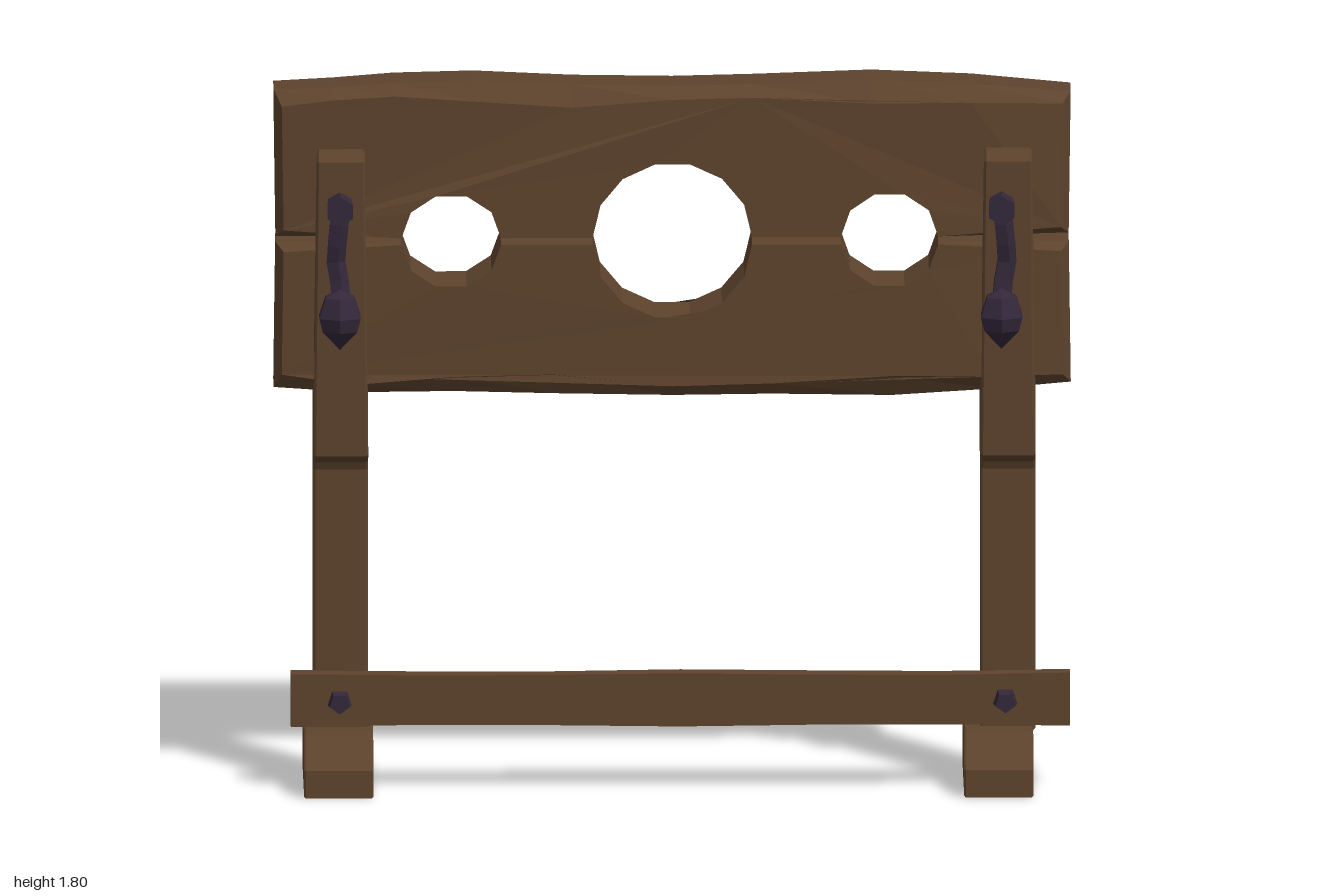
import * as THREE from 'three';

const wood = new THREE.MeshStandardMaterial({ color: 0x5d432d, flatShading: true });
wood.name = 'brown wood';
const iron = new THREE.MeshStandardMaterial({ color: 0x33283a, flatShading: true });
iron.name = 'dark iron';

function add(parent, name, geometry, material, x = 0, y = 0, z = 0) {
  const mesh = new THREE.Mesh(geometry, material);
  mesh.name = name;
  mesh.position.set(x, y, z);
  parent.add(mesh);
  return mesh;
}

const shapeOf = (pts) => new THREE.Shape(pts.map(([x, y]) => new THREE.Vector2(x, y)));

// Moves every vertex of a geometry by a rule
function warp(geometry, rule) {
  const p = geometry.attributes.position;
  const v = new THREE.Vector3();
  for (let i = 0; i < p.count; i++) {
    rule(v.fromBufferAttribute(p, i));
    p.setXYZ(i, v.x, v.y, v.z);
  }
  geometry.computeVertexNormals();
  return geometry;
}

// Extrudes a (z, y) side profile across x, centred on x = 0
function sideProfile(pts, width, bevel) {
  const g = new THREE.ExtrudeGeometry(shapeOf(pts), {
    depth: width - 2 * bevel, bevelThickness: bevel, bevelSize: bevel,
    bevelOffset: -bevel, bevelSegments: 1,
  });
  return g.translate(0, 0, -width / 2 + bevel).rotateY(-Math.PI / 2);
}

// Mating edge with half of the neck and wrist holes, from left to right
function matingEdge(y, dir) {
  const pts = [[-0.995, y]];
  for (const [cx, rx, ry, n] of [[-0.555, 0.125, 0.12, 5], [0, 0.2, 0.198, 7], [0.545, 0.122, 0.12, 5]]) {
    for (let i = 0; i <= n; i++) {
      const a = Math.PI * (1 - i / n);
      pts.push([cx + rx * Math.cos(a), y + (1.398 + dir * ry - y) * Math.sin(a)]);
    }
  }
  pts.push([0.995, y]);
  return pts;
}

// Rough plank: layered extrusion with worn outer edges and a gentle twist
function plank(pts, outerY, dir, zMid, twist) {
  const layers = [-0.105, -0.07, 0, 0.07, 0.105];
  const g = new THREE.ExtrudeGeometry(shapeOf(pts), { depth: 4, steps: 4, bevelEnabled: false });
  return warp(g, (v) => {
    const layer = Math.round(v.z);
    const x = v.x;
    const outer = Math.abs(v.y - outerY) < 0.06;
    const end = Math.abs(x) > 0.97;
    v.z = layers[layer] + zMid(x) + (outer ? twist * Math.sin(4 * x) : 0);
    if (layer === 0 || layer === 4) {
      if (outer) v.y -= dir * (0.04 + 0.015 * Math.sin(7 * x + layer));
      else if (Math.abs(x) > 0.7) v.y += dir * 0.02;
      if (end) v.x *= 0.98;
    }
    if (end) v.z -= Math.sign(layer - 2) * 0.012;
  });
}

export function createModel() {
  const model = new THREE.Group();
  model.name = 'pillory';

  // Two boards that close around the neck and wrists
  const top = [[1, 1.765], [0.75, 1.788], [0.5, 1.8], [0.2, 1.79], [0, 1.785], [-0.25, 1.788],
    [-0.5, 1.8], [-0.7, 1.796], [-0.85, 1.785], [-1, 1.78]];
  add(model, 'upperBoard', plank([...matingEdge(1.405, 1), ...top], 1.785, 1,
    (x) => -0.006 - 0.014 * x, 0.006), wood);
  const bottom = [[1, 1.03], [0.8, 1.015], [0.55, 1.0], [0.25, 1.004], [0, 1.0], [-0.3, 1.004],
    [-0.55, 1.01], [-0.8, 1.008], [-1, 1.02]];
  add(model, 'lowerBoard', plank([...matingEdge(1.39, -1), ...bottom], 1.012, -1,
    (x) => 0.012 + 0.003 * x, 0.005), wood);

  // Forked posts, feet, bolts and latches
  const postProfile = [[-0.08, 0.14], [0.075, 0.14], [0.078, 0.81], [0.088, 0.83], [0.14, 0.855],
    [0.162, 1.61], [0.145, 1.633], [0.1, 1.633], [0.09, 1.03], [-0.09, 1.03], [-0.105, 1.633],
    [-0.15, 1.633], [-0.165, 1.6], [-0.14, 0.845], [-0.085, 0.82]];
  const footProfile = [[-0.262, 0], [0.235, 0], [0.235, 0.07], [0.155, 0.152], [-0.195, 0.152], [-0.262, 0.08]];
  for (const side of [-1, 1]) {
    const label = side > 0 ? 'left' : 'right';
    const postX = side > 0 ? 0.842 : -0.832;

    const post = warp(sideProfile(postProfile, 0.138, 0.006), (v) => {
      v.x *= v.y > 1.2 ? 0.87 : 1;
    });
    add(model, label + 'Post', post, wood, postX);
    add(model, label + 'Foot', sideProfile(footProfile, 0.174, 0.004), wood, side > 0 ? 0.818 : -0.838);

    const bolt = new THREE.CylinderGeometry(0.026, 0.033, 0.05, 5).rotateX(Math.PI / 2);
    add(model, label + 'Bolt', bolt, iron, side * 0.835, 0.228, 0.145);

    // Latch: peg, hanging strap and pointed weight
    const latch = new THREE.Group();
    latch.name = label + 'Latch';
    latch.position.set(side > 0 ? 0.825 : -0.835, 0, 0);
    model.add(latch);
    add(latch, 'peg', new THREE.CylinderGeometry(0.037, 0.033, 0.1, 6).rotateX(Math.PI / 2), iron, 0, 1.5, 0.2);
    const strap = new THREE.CatmullRomCurve3([[0, 1.5, 0.175], [side * 0.006, 1.43, 0.182],
      [side * 0.012, 1.36, 0.17], [0, 1.29, 0.18], [0, 1.22, 0.2]].map((p) => new THREE.Vector3(...p)));
    add(latch, 'strap', new THREE.TubeGeometry(strap, 6, 0.026, 5), iron);
    const weight = new THREE.LatheGeometry([[0, 1.14], [0.05, 1.19], [0.06, 1.225], [0.042, 1.275], [0, 1.295]]
      .map(([r, y]) => new THREE.Vector2(r, y)), 6);
    add(latch, 'weight', weight, iron, 0, 0, 0.21);
  }

  // Bottom cross rail, slightly uneven
  const rail = new THREE.BoxGeometry(1.955, 0.13, 0.055, 6, 1, 1);
  warp(rail, (v) => {
    if (v.z > 0) v.z += 0.004 * Math.sin(5 * v.x);
    v.y += 0.003 * Math.sin(6 * v.x + v.y * 20);
  });
  add(model, 'crossRail', rail, wood, 0.02, 0.23, 0.1);

  return model;
}
